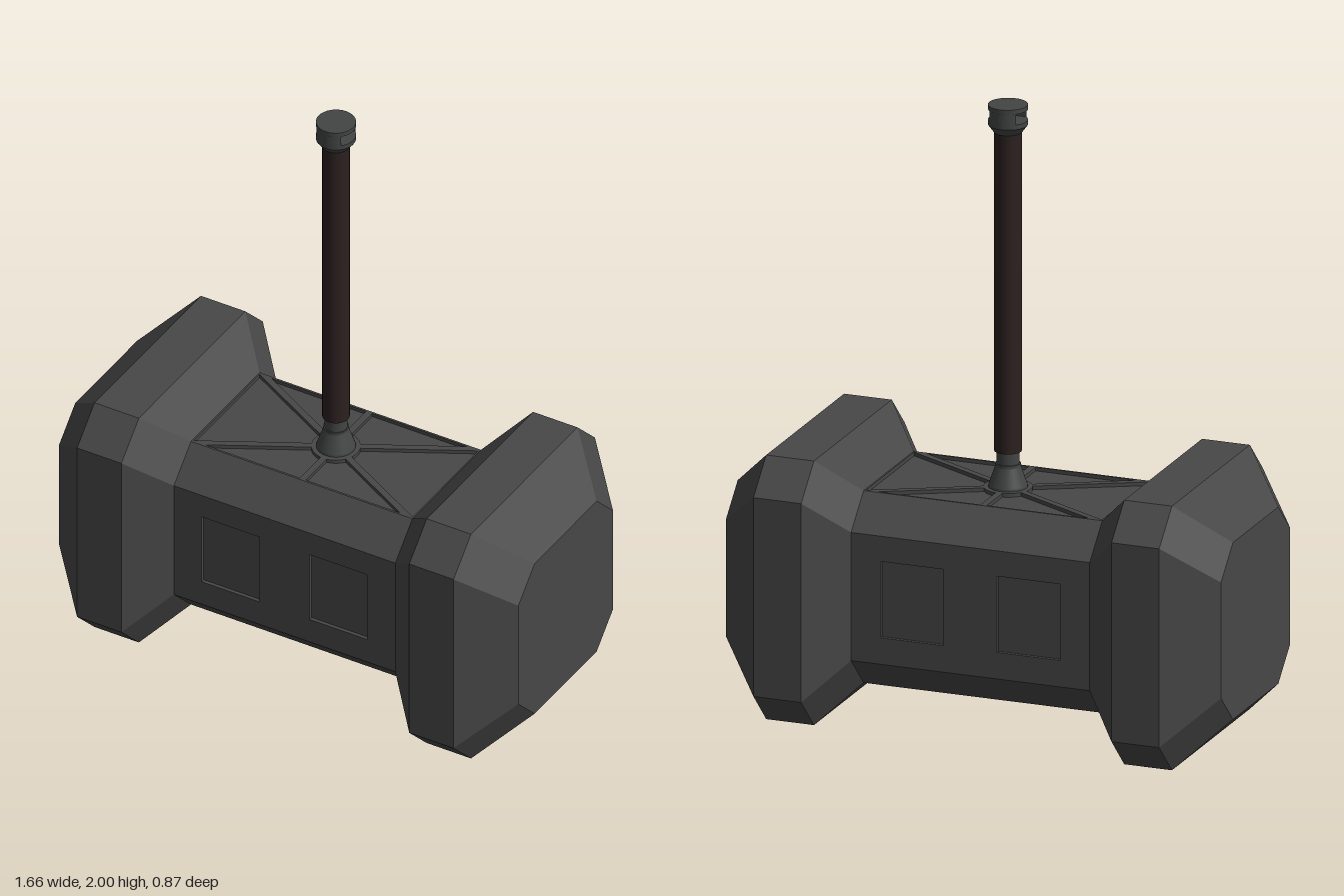
import * as THREE from 'three';

const MID = 0.433; // height of the head's axis
const DEPTH = 0.012; // depth of the recessed panels

// Chamfered square, as [y, z] offsets from the axis
function octagon(h, cut) {
  const c = h - cut;
  return [[h, -c], [h, c], [c, h], [-c, h], [-h, c], [-h, -c], [-c, -h], [c, -h]];
}

// Flat-faced loft along +x through [x, halfSize, cut] sections, capped at the end
function hammerEnd() {
  const rings = [[0.4, 0.315, 0.105], [0.52, 0.433, 0.107], [0.68, 0.433, 0.107], [0.83, 0.29, 0.1]]
    .map(([x, h, cut]) => octagon(h, cut).map(([y, z]) => [x, y, z]));
  const pos = [];
  for (let i = 0; i < 3; i++) {
    for (let k = 0; k < 8; k++) {
      const n = (k + 1) % 8;
      const a = rings[i][k], b = rings[i][n], c = rings[i + 1][n], d = rings[i + 1][k];
      pos.push(...a, ...b, ...c, ...a, ...c, ...d);
    }
  }
  const last = rings[3];
  for (let k = 0; k < 8; k++) pos.push(0.83, 0, 0, ...last[k], ...last[(k + 1) % 8]);
  const g = new THREE.BufferGeometry();
  g.setAttribute('position', new THREE.Float32BufferAttribute(pos, 3));
  g.computeVertexNormals();
  return g;
}

// Central block: octagon with shallow steps where the panelled plates sit
function bodyCore() {
  const o = 0.315, i = o - DEPTH, c = 0.21;
  const pts = [[c, -o], [o, -c], [i, -c], [i, c], [o, c], [c, o], [c, i],
    [-c, i], [-c, o], [-o, c], [-i, c], [-i, -c], [-o, -c], [-c, -o]];
  const shape = new THREE.Shape(pts.map((p) => new THREE.Vector2(...p)));
  return new THREE.ExtrudeGeometry(shape, { depth: 0.84, bevelEnabled: false })
    .translate(0, 0, -0.42).rotateY(Math.PI / 2);
}

// Flat plate pierced by the given outlines
function plate(holes) {
  const v = (pts) => pts.map((p) => new THREE.Vector2(...p));
  const shape = new THREE.Shape(v([[-0.42, -0.21], [0.42, -0.21], [0.42, 0.21], [-0.42, 0.21]]));
  holes.forEach((h) => shape.holes.push(new THREE.Path(v(h))));
  return new THREE.ExtrudeGeometry(shape, { depth: DEPTH, bevelEnabled: false });
}

function sidePlate() {
  const y0 = 0.31 - MID, y1 = 0.56 - MID;
  return plate([[0.09, 0.3], [-0.3, -0.09]].map(([a, b]) => [[a, y0], [b, y0], [b, y1], [a, y1]]));
}

// Six recesses that leave spokes running from a round hub
function spokePlate() {
  const r = 0.077, w = 0.011, slope = Math.atan2(0.2, 0.37), d = Math.asin(w / r);
  const arc = (from, to) => Array.from({ length: 7 }, (_, i) => {
    const a = from + (to - from) * i / 6;
    return [r * Math.cos(a), r * Math.sin(a)];
  });
  const off = w / Math.cos(slope), tan = Math.tan(slope);
  const quarter = [...arc(slope + d, Math.PI / 2 - d), [w, 0.203], [(0.203 - off) / tan, 0.203]];
  const edge = 0.395 * tan - off;
  const end = [...arc(-(slope - d), slope - d), [0.395, edge], [0.395, -edge]];
  const holes = [];
  for (const sx of [1, -1]) {
    holes.push(end.map(([x, y]) => [sx * x, y]));
    for (const sy of [1, -1]) holes.push(quarter.map(([x, y]) => [sx * x, sy * y]));
  }
  return plate(holes);
}

export function createModel() {
  const stone = new THREE.MeshStandardMaterial({ color: 0x474747 });
  stone.name = 'darkGreyMetal';
  const fitting = new THREE.MeshStandardMaterial({ color: 0x434545 });
  fitting.name = 'fittingMetal';
  const leather = new THREE.MeshStandardMaterial({ color: 0x2c2020 });
  leather.name = 'brownLeather';

  const model = new THREE.Group();
  model.name = 'hammer';
  const add = (name, geometry, material, parent = model) => {
    const m = new THREE.Mesh(geometry, material);
    m.name = name;
    parent.add(m);
    return m;
  };

  // Head
  const head = new THREE.Group();
  head.name = 'head';
  head.position.y = MID;
  model.add(head);
  add('headBody', bodyCore(), stone, head);
  add('leftStrikingEnd', hammerEnd(), stone, head);
  add('rightStrikingEnd', hammerEnd().rotateY(Math.PI), stone, head);
  const inner = 0.315 - DEPTH;
  add('frontPanels', sidePlate().translate(0, 0, inner), stone, head);
  add('backPanels', sidePlate().translate(0, 0, inner).rotateY(Math.PI), stone, head);
  add('topSpokes', spokePlate().translate(0, 0, inner).rotateX(-Math.PI / 2), stone, head);

  // Round parts stacked up the handle: name, bottom, top, bottom radius, top radius
  const stack = [
    ['collarFoot', 0.735, 0.755, 0.063, 0.061, fitting],
    ['collarCone', 0.755, 0.815, 0.061, 0.04, fitting],
    ['collarRing', 0.815, 0.825, 0.04, 0.04, fitting],
    ['collarNeck', 0.825, 0.87, 0.036, 0.036, fitting],
    ['grip', 0.865, 1.91, 0.043, 0.043, leather],
    ['pommelCone', 1.91, 1.935, 0.044, 0.0625, fitting],
    ['pommelBase', 1.935, 1.95, 0.0625, 0.0625, fitting],
    ['pommelCap', 1.985, 2, 0.0625, 0.0625, fitting],
  ];
  for (const [name, y0, y1, r0, r1, mat] of stack) {
    add(name, new THREE.CylinderGeometry(r1, r0, y1 - y0, 32).translate(0, (y0 + y1) / 2, 0), mat);
  }

  // Two posts either side of the strap slot
  const half = Math.acos(0.044 / 0.0625);
  const segment = new THREE.Shape();
  segment.absarc(0, 0, 0.0625, -half, half, false);
  for (const side of [1, -1]) {
    add(side > 0 ? 'pommelFrontPost' : 'pommelBackPost',
      new THREE.ExtrudeGeometry(segment, { depth: 0.035, bevelEnabled: false })
        .rotateX(-Math.PI / 2).rotateY(-side * Math.PI / 2).translate(0, 1.95, 0), fitting);
  }
  return model;
}
